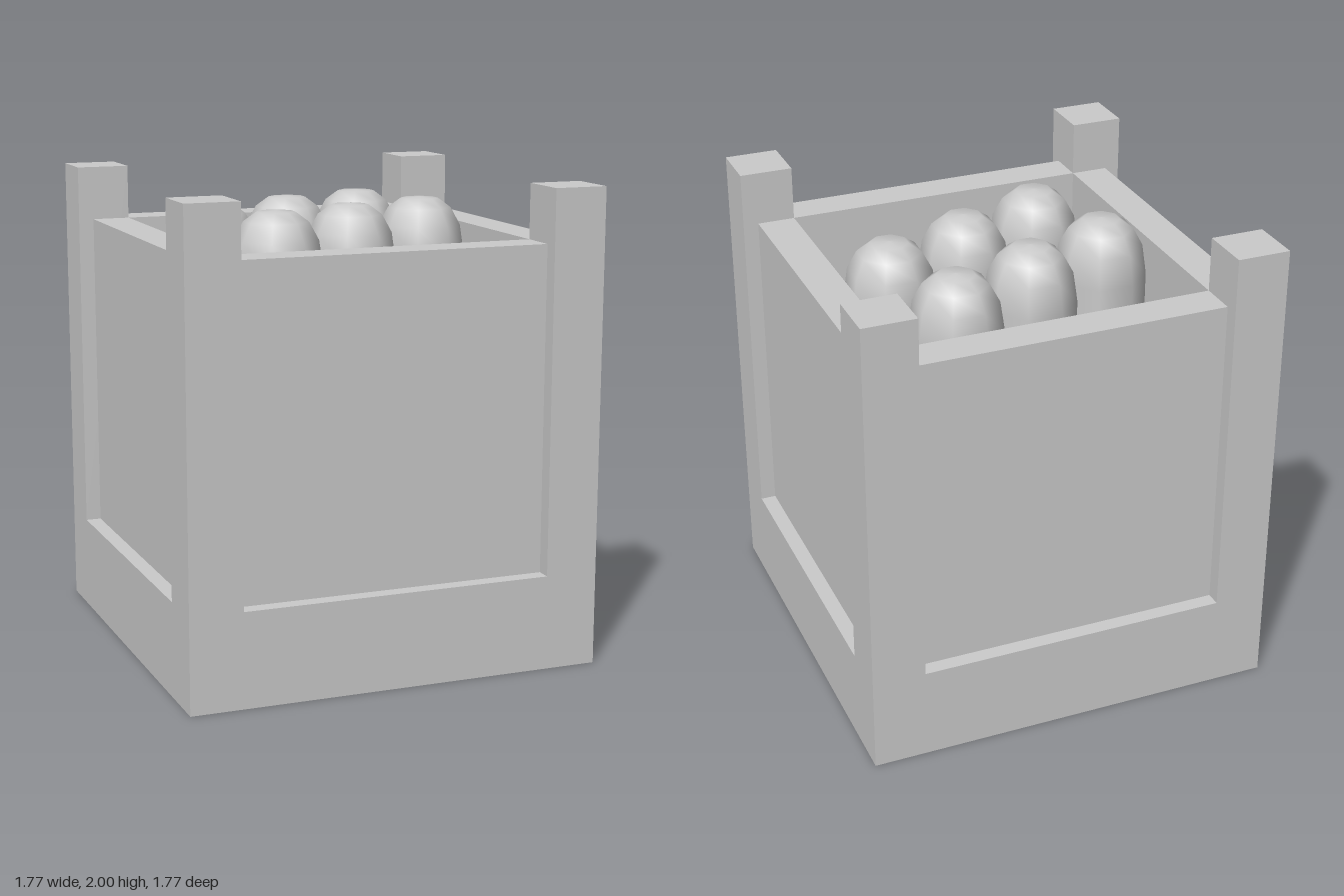
import * as THREE from 'three';

const material = new THREE.MeshStandardMaterial({ color: 0xcccccc });

const HALF = 0.885;      // half width of the crate
const INNER = 0.66;      // inner face of posts and walls
const WALL_OUT = 0.82;   // outer face of the recessed walls
const FLOOR = 0.4;       // top of the base
const WALL_TOP = 1.77;
const POST_TOP = 2;

// Box given by its minimum and maximum corners
function box(name, min, max) {
  const size = max.map((v, i) => v - min[i]);
  const mesh = new THREE.Mesh(new THREE.BoxGeometry(...size), material);
  mesh.position.set(...max.map((v, i) => (v + min[i]) / 2));
  mesh.name = name;
  return mesh;
}

export function createModel() {
  const model = new THREE.Group();
  model.name = 'crate';

  // Solid base, also the floor inside
  model.add(box('base', [-HALF, 0, -HALF], [HALF, FLOOR, HALF]));

  // Four corner posts
  for (const [name, sx, sz] of [
    ['frontLeftPost', 1, 1], ['frontRightPost', -1, 1],
    ['backLeftPost', 1, -1], ['backRightPost', -1, -1],
  ]) {
    const post = box(name, [INNER, FLOOR, INNER], [HALF, POST_TOP, HALF]);
    post.position.x *= sx;
    post.position.z *= sz;
    model.add(post);
  }

  // Four walls, set back from the posts
  ['frontWall', 'leftWall', 'backWall', 'rightWall'].forEach((name, i) => {
    const side = new THREE.Group();
    side.name = name;
    side.add(box(name + 'Panel', [-INNER, FLOOR, INNER], [INNER, WALL_TOP, WALL_OUT]));
    side.rotation.y = i * Math.PI / 2;
    model.add(side);
  });

  // Six eight-sided round-topped cylinders, standing in two turned rows
  const profile = [
    [0.195, FLOOR], [0.195, 1.64], [0.176, 1.77], [0.135, 1.845], [0.08, 1.885], [0, 1.892],
  ].map(([r, y]) => new THREE.Vector2(r, y));
  const capsuleGeometry = new THREE.LatheGeometry(profile, 8);

  const contents = new THREE.Group();
  contents.name = 'contents';
  for (const x of [-0.404, 0, 0.404]) {
    for (const z of [-0.205, 0.205]) {
      const capsule = new THREE.Mesh(capsuleGeometry, material);
      capsule.name = 'roundToppedCylinder';
      capsule.position.set(x, 0, z);
      contents.add(capsule);
    }
  }
  contents.rotation.y = THREE.MathUtils.degToRad(20);
  contents.position.z = -0.03;
  model.add(contents);

  return model;
}
